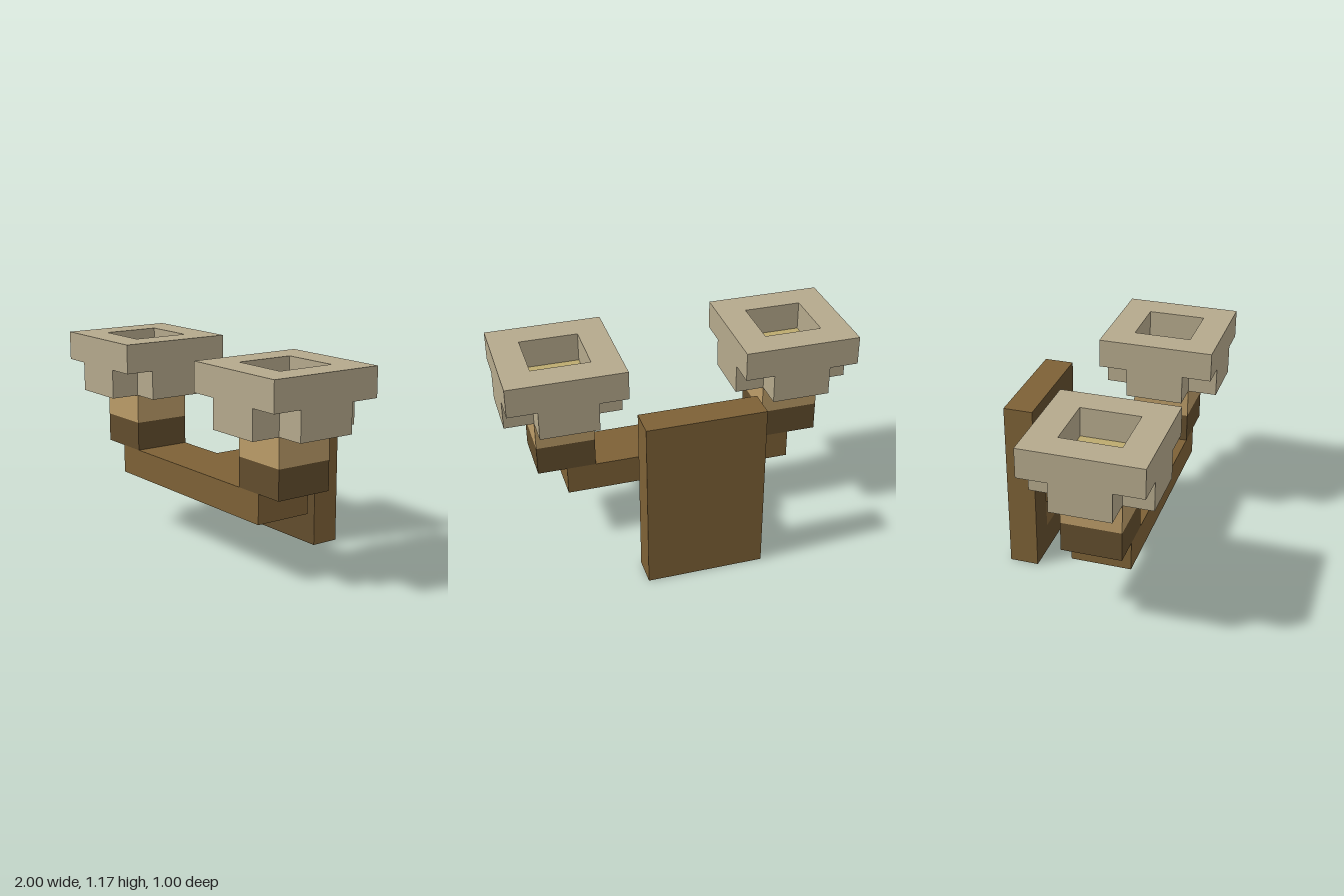
import * as THREE from 'three';

const U = 1 / 6; // block unit
const mat = (color) => new THREE.MeshStandardMaterial({ color });
const wood = mat(0x7d6136);
const darkWood = mat(0x624d2d);
const wax = mat(0xbb9c68);
const glow = mat(0xbcaa6e);
const stone = mat(0xb5a98c);

// Box given by its min and max corners, in block units
function block(name, material, [x0, y0, z0], [x1, y1, z1]) {
  const geo = new THREE.BoxGeometry((x1 - x0) * U, (y1 - y0) * U, (z1 - z0) * U);
  geo.translate((x0 + x1) * U / 2, (y0 + y1) * U / 2, (z0 + z1) * U / 2);
  const mesh = new THREE.Mesh(geo, material);
  mesh.name = name;
  return mesh;
}

// Rectangular outline with a rectangular hole, centred on the origin
function frameShape(w, h, holeW, holeH) {
  const rect = (path, a, b) => path
    .moveTo(-a, -b).lineTo(a, -b).lineTo(a, b).lineTo(-a, b).closePath();
  const shape = rect(new THREE.Shape(), w * U / 2, h * U / 2);
  shape.holes.push(rect(new THREE.Path(), holeW * U / 2, holeH * U / 2));
  return shape;
}

// One candle with its cup, centred on x = z = 0
function createLamp(name) {
  const lamp = new THREE.Group();
  lamp.name = name;
  lamp.add(
    block('candleBase', darkWood, [-1, 3, -1], [1, 4, 1]),
    block('candle', wax, [-1, 4, -1], [1, 5, 1]),
    block('candleTop', glow, [-1, 5, -1], [1, 6, 1]),
  );

  // Square rim, open in the middle
  const rimGeo = new THREE.ExtrudeGeometry(frameShape(4, 4, 2, 2), { depth: U, bevelEnabled: false });
  rimGeo.rotateX(-Math.PI / 2).translate(0, 6 * U, 0);
  const rim = new THREE.Mesh(rimGeo, stone);
  rim.name = 'cupRim';
  lamp.add(rim);

  // Four blocks below the rim, leaving the corners free
  for (let i = 0; i < 4; i++) {
    const side = block('cupSide', stone, [-1, 5, 1], [1, 6, 2]);
    side.rotation.y = i * Math.PI / 2;
    lamp.add(side);
  }
  return lamp;
}

export function createModel() {
  const model = new THREE.Group();
  model.name = 'wallSconce';

  // Wall plate with a darker border on its front
  model.add(block('wallPlate', wood, [-2, 0, -3], [2, 6, -2]));
  const border = new THREE.Mesh(new THREE.ShapeGeometry(frameShape(4, 6, 2, 4)), darkWood);
  border.name = 'plateBorder';
  border.position.set(0, 3 * U, -2 * U + 0.001);
  model.add(border);

  // Bracket: stem and crossbar
  model.add(
    block('stem', wood, [-1, 2, -2], [1, 3, 0]),
    block('crossbar', wood, [-4, 2, 0], [4, 3, 2]),
  );

  // A lamp at each end of the crossbar
  for (const s of [-1, 1]) {
    const lamp = createLamp(s > 0 ? 'leftLamp' : 'rightLamp');
    lamp.position.set(s * 4 * U, 0, U);
    model.add(lamp);
  }
  return model;
}
